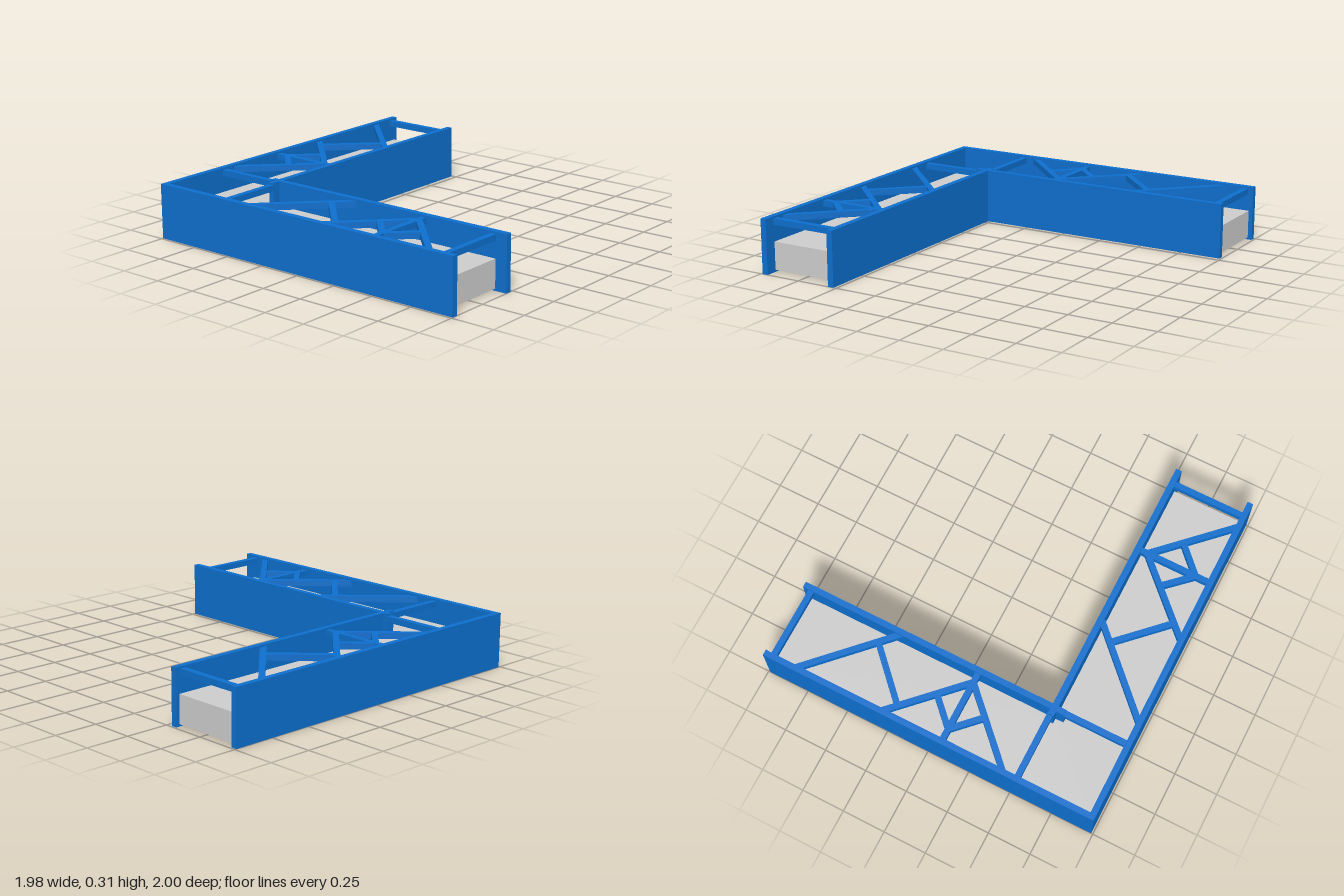
import * as THREE from 'three';

const blue = new THREE.MeshStandardMaterial({ color: 0x0d6ecc });
const grey = new THREE.MeshStandardMaterial({ color: 0xcccccc });

export function createModel() {
  const model = new THREE.Group();

  // Upright wall given by its plan rectangle
  const wall = (name, x0, x1, z0, z1) => {
    const mesh = new THREE.Mesh(new THREE.BoxGeometry(x1 - x0, 0.31, z1 - z0), blue);
    mesh.position.set((x0 + x1) / 2, 0.155, (z0 + z1) / 2);
    mesh.name = name;
    model.add(mesh);
  };
  wall('leftOuterWall', -0.99, -0.956, -1, 1);
  wall('backOuterWall', -0.99, 0.99, -1, -0.967);
  wall('leftInnerWall', -0.553, -0.518, -0.593, 1);
  wall('backInnerWall', -0.6, 0.99, -0.563, -0.53);

  // L-shaped filling between the walls
  const plan = [[-0.956, -0.967], [0.967, -0.967], [0.967, -0.563],
    [-0.553, -0.563], [-0.553, 0.932], [-0.956, 0.932]];
  const shape = new THREE.Shape(plan.map(([x, z]) => new THREE.Vector2(x, -z)));
  const slab = new THREE.Mesh(
    new THREE.ExtrudeGeometry(shape, { depth: 0.158, bevelEnabled: false }), grey);
  slab.rotation.x = -Math.PI / 2;
  slab.position.y = 0.012;
  slab.name = 'filling';
  model.add(slab);

  // Horizontal square bars spanning the trench: x, z of both ends
  const addStruts = (name, list) => {
    const group = new THREE.Group();
    group.name = name;
    for (const [x0, z0, x1, z1] of list) {
      const length = Math.hypot(x1 - x0, z1 - z0);
      const bar = new THREE.Mesh(new THREE.BoxGeometry(length, 0.034, 0.034), blue);
      bar.position.set((x0 + x1) / 2, 0.282, (z0 + z1) / 2);
      bar.rotation.y = -Math.atan2(z1 - z0, x1 - x0);
      bar.name = 'strut';
      group.add(bar);
    }
    model.add(group);
  };

  addStruts('cornerStruts', [
    [-0.96, -0.547, -0.59, -0.547],
    [-0.53, -0.97, -0.53, -0.58],
  ]);
  addStruts('backArmStruts', [
    [-0.45, -0.98, -0.085, -0.615],
    [-0.085, -0.615, 0.28, -0.98],
    [-0.085, -0.97, -0.085, -0.56],
    [-0.225, -0.765, -0.085, -0.905],
    [-0.085, -0.905, 0.055, -0.765],
    [0.22, -0.91, 0.47, -0.655],
    [0.805, -0.98, 0.385, -0.553],
    [0.941, -0.97, 0.941, -0.56],
  ]);
  addStruts('leftArmStruts', [
    [-0.968, -0.412, -0.543, 0.012],
    [-0.635, -0.08, -0.895, 0.175],
    [-0.968, 0.107, -0.592, 0.476],
    [-0.592, 0.476, -0.968, 0.844],
    [-0.96, 0.476, -0.55, 0.476],
    [-0.745, 0.345, -0.885, 0.476],
    [-0.885, 0.476, -0.745, 0.62],
    [-0.96, 0.917, -0.55, 0.917],
  ]);

  return model;
}
